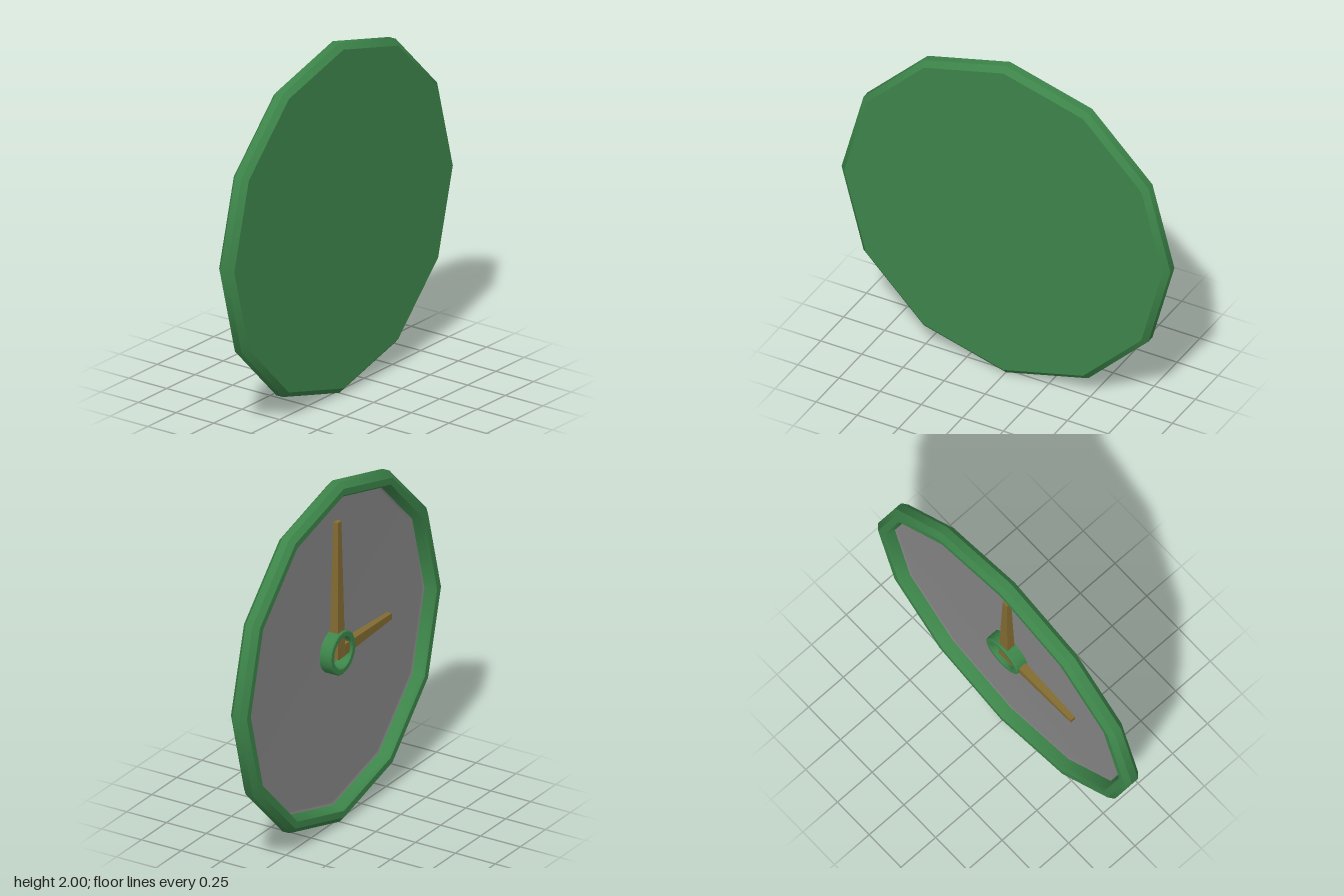
import * as THREE from 'three';

const green = new THREE.MeshStandardMaterial({ color: 0x3d854a });
const brass = new THREE.MeshStandardMaterial({ color: 0x846c32 });
const grey = new THREE.MeshStandardMaterial({ color: 0x868686 });

// Turned part about the z axis; profile points are [radius, z, sharp].
// A sharp point is doubled so that the shading breaks there.
function turned(name, profile, sides, material) {
  const points = profile.flatMap(([r, z, sharp]) =>
    Array.from({ length: sharp ? 2 : 1 }, () => new THREE.Vector2(r, z)));
  const mesh = new THREE.Mesh(new THREE.LatheGeometry(points, sides).rotateX(Math.PI / 2), material);
  mesh.name = name;
  return mesh;
}

// Tapered bar that starts just behind the pivot and points up
function hand(name, length, angle) {
  const start = -0.03;
  const geo = new THREE.BoxGeometry(1, length - start, 1).translate(0, (length + start) / 2, 0);
  const pos = geo.attributes.position;
  for (let i = 0; i < pos.count; i++) {
    const tip = pos.getY(i) > 0;
    pos.setX(i, pos.getX(i) * (tip ? 0.035 : 0.07));
    pos.setZ(i, pos.getZ(i) * (tip ? 0.03 : 0.056));
  }
  geo.computeVertexNormals();
  const mesh = new THREE.Mesh(geo, brass);
  mesh.name = name;
  mesh.position.z = -0.008;
  mesh.rotation.z = angle;
  return mesh;
}

export function createModel() {
  const clock = new THREE.Group();
  clock.name = 'wallClock';

  // Twelve-sided case: raised bevelled rim and closed flat panel on +z
  clock.add(turned('case', [
    [0.91, 0.025], [0.915, -0.03], [0.93, -0.05, true], [0.968, -0.05, true],
    [1, -0.022, true], [1, 0.022, true], [0.968, 0.05, true], [0, 0.05],
  ], 12, green));

  // Recessed dial facing -z, its edge turned up against the rim
  clock.add(turned('dial', [[0, 0.025], [0.895, 0.025], [0.914, 0.017]], 12, grey));

  // Open hub ring around the pivot, standing on the dial
  clock.add(turned('hub', [
    [0.088, 0.025], [0.088, -0.042, true], [0.093, -0.047, true],
    [0.119, -0.047, true], [0.125, -0.041, true], [0.125, 0.025],
  ], 20, green));

  // Hands at three o'clock as read from the dial side
  clock.add(hand('minuteHand', 0.765, 0));
  clock.add(hand('hourHand', 0.52, Math.PI / 2));

  clock.position.y = 1;
  const model = new THREE.Group();
  model.add(clock);
  return model;
}
